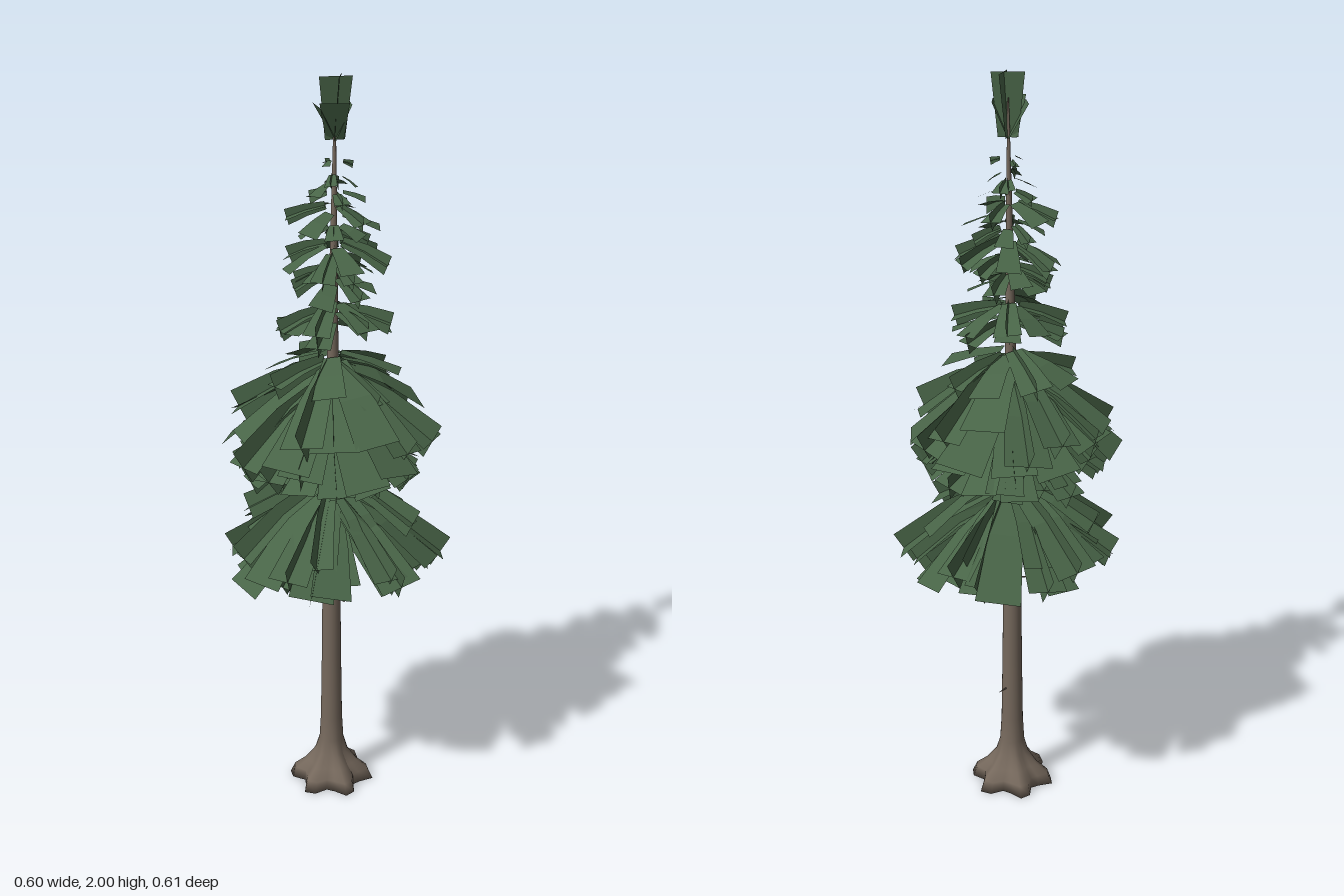
import * as THREE from 'three';
import { mergeGeometries } from 'three/addons/utils/BufferGeometryUtils.js';

const bark = new THREE.MeshStandardMaterial({ color: 0x75685c });
const needles = new THREE.MeshStandardMaterial({ color: 0x486447, side: THREE.DoubleSide, flatShading: true });

// Seeded random in -1..1
let seed = 11;
const rnd = () => {
  seed = (seed * 16807) % 2147483647;
  return (seed / 2147483647) * 2 - 1;
};

// Trunk centre drifts slightly towards +x near the top
const lean = y => 0.006 + 0.012 * Math.max(0, y - 0.8);

// Trunk with a lobed root flare
function makeTrunk() {
  const profile = [[0, 0], [0.1, 0], [0.092, 0.03], [0.066, 0.055], [0.044, 0.09], [0.034, 0.13], [0.03, 0.2],
    [0.027, 0.4], [0.024, 0.7], [0.018, 1.1], [0.011, 1.5], [0.006, 1.75], [0.002, 1.94]];
  const geo = new THREE.LatheGeometry(profile.map(p => new THREE.Vector2(...p)), 24);
  const p = geo.attributes.position;
  for (let i = 0; i < p.count; i++) {
    const y = p.getY(i), a = Math.atan2(p.getZ(i), p.getX(i));
    const k = 1 + 0.22 * Math.max(0, 1 - y / 0.13) * Math.cos(6 * a + 0.5);
    p.setXYZ(i, p.getX(i) * k + lean(y), y, p.getZ(i) * k);
  }
  geo.computeVertexNormals();
  return new THREE.Mesh(geo, bark);
}

// A drooping branch card that widens to its tip, lying flat or standing on edge
function makeCard(reach, drop, width, onEdge) {
  const geo = new THREE.PlaneGeometry(1, 1, 1, 2);
  const p = geo.attributes.position;
  const slope = drop / reach, len = Math.hypot(1, slope);
  for (let i = 0; i < p.count; i++) {
    const t = 0.5 - p.getY(i);
    const w = p.getX(i) * width * (0.5 + 0.5 * t);
    const x = 0.022 + (reach - 0.022) * t;
    const y = -drop * (0.6 * t + 0.4 * t * t);
    if (onEdge) p.setXYZ(i, x + w * slope / len, y + w / len, 0);
    else p.setXYZ(i, x, y, w);
  }
  return geo;
}

// One ring of cards around the trunk, every other branch crossed by a card on edge
function makeWhorl([y, reach, drop, count, width]) {
  const cards = [];
  const start = rnd() * Math.PI;
  for (let i = 0; i < count; i++) {
    const angle = start + (i + 0.25 * rnd()) / count * Math.PI * 2;
    const size = 1 + 0.08 * rnd(), droop = drop * (1 + 0.25 * rnd());
    const height = y + 0.02 * rnd(), roll = 0.25 * rnd();
    for (const onEdge of i % 2 ? [false] : [false, true]) {
      const g = makeCard(reach * size, droop, width * (onEdge ? 0.8 : 1), onEdge);
      g.rotateX(roll).rotateY(angle).translate(lean(y), height, 0);
      cards.push(g);
    }
  }
  return new THREE.Mesh(mergeGeometries(cards), needles);
}

// Upright cards at the tip, some leaning outwards
function makeTip() {
  const cards = [];
  // Width, height, outward lean, compass turn
  for (const [w, h, out, turn] of [[0.085, 0.16, 0.08, 0.6], [0.085, 0.16, 0.08, -0.7],
    [0.075, 0.11, 0.45, -0.9], [0.075, 0.1, 0.5, -2.2], [0.07, 0.1, 0.4, 0.8]]) {
    const g = new THREE.PlaneGeometry(w, h).translate(0, h / 2, 0);
    const p = g.attributes.position;
    for (let i = 0; i < p.count; i++) if (p.getY(i) < h / 2) p.setX(i, p.getX(i) * 0.6);
    g.rotateX(out).rotateY(turn).translate(0.02, 1.842, 0);
    cards.push(g);
  }
  return new THREE.Mesh(mergeGeometries(cards), needles);
}

export function createModel() {
  seed = 11;
  const tree = new THREE.Group();
  tree.name = 'coniferTree';
  const trunk = makeTrunk();
  trunk.name = 'trunk';
  tree.add(trunk);

  // Height, reach, droop, card count, card width
  const whorls = {
    lowerSkirt: [[0.78, 0.17, 0.09, 8, 0.08], [0.83, 0.23, 0.13, 10, 0.1], [0.87, 0.27, 0.16, 12, 0.11],
      [0.9, 0.28, 0.18, 11, 0.12], [0.92, 0.22, 0.13, 8, 0.1]],
    middleSkirt: [[1.01, 0.18, 0.06, 8, 0.08], [1.06, 0.22, 0.1, 10, 0.1], [1.11, 0.235, 0.12, 10, 0.1],
      [1.16, 0.25, 0.14, 11, 0.12], [1.21, 0.275, 0.16, 11, 0.13], [1.25, 0.26, 0.14, 9, 0.12], [1.27, 0.18, 0.06, 8, 0.09]],
    upperWhorls: [[1.38, 0.14, 0.035, 7, 0.07], [1.42, 0.14, 0.05, 7, 0.075], [1.48, 0.11, 0.035, 6, 0.065],
      [1.53, 0.1, 0.04, 6, 0.06], [1.57, 0.14, 0.05, 7, 0.065], [1.62, 0.085, 0.03, 6, 0.05],
      [1.66, 0.115, 0.035, 6, 0.055], [1.72, 0.075, 0.02, 5, 0.045], [1.75, 0.06, 0.02, 3, 0.035], [1.8, 0.045, 0.01, 3, 0.025]],
  };
  for (const [name, rows] of Object.entries(whorls)) {
    const tier = new THREE.Group();
    tier.name = name;
    rows.forEach((row, i) => {
      const whorl = makeWhorl(row);
      whorl.name = `${name}Ring${i + 1}`;
      tier.add(whorl);
    });
    tree.add(tier);
  }

  const tip = makeTip();
  tip.name = 'treeTip';
  tree.add(tip);

  // Dead twigs on the bare trunk
  for (const [y, angle] of [[0.3, 0.2], [0.58, 4.5], [0.63, 2.6]]) {
    const geo = new THREE.CylinderGeometry(0.001, 0.003, 0.04, 5);
    geo.rotateZ(-Math.PI / 2).translate(0.038, 0, 0).rotateY(angle).translate(lean(y), y, 0);
    const twig = new THREE.Mesh(geo, bark);
    twig.name = 'deadTwig';
    tree.add(twig);
  }
  return tree;
}
